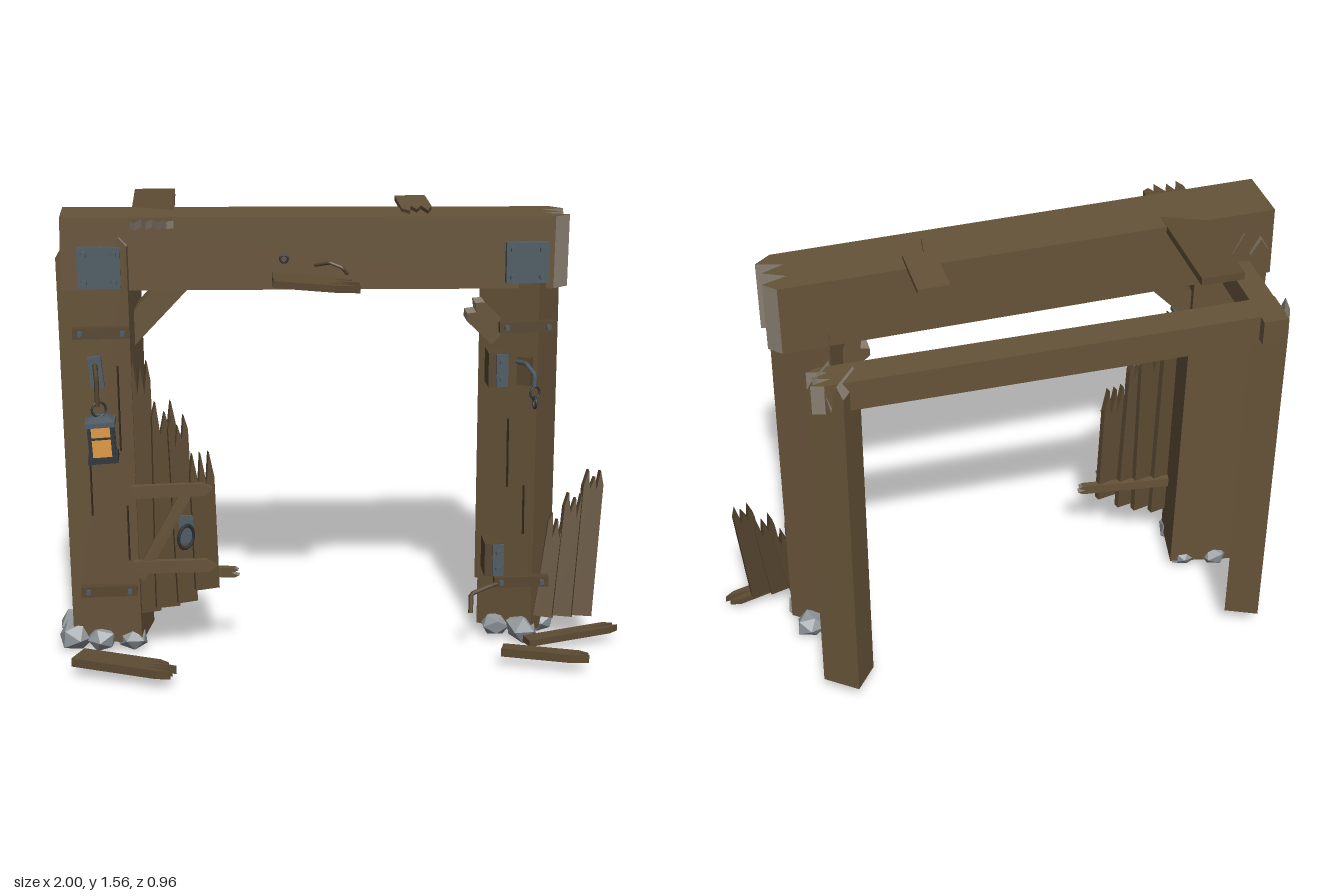
import * as THREE from 'three';

const mat = (name, color) => {
  const m = new THREE.MeshStandardMaterial({ color });
  m.name = name;
  return m;
};
const V = (a) => new THREE.Vector3(...a);

export function createModel() {
  const model = new THREE.Group();
  model.name = 'ruinedTimberGate';
  const wood = mat('oldWood', 0x665339);
  const plankWood = mat('plankWood', 0x5d4b33);
  const splitWood = mat('splitWood', 0x8a8072);
  const crackWood = mat('crackedWood', 0x33281b);
  const iron = mat('blueIron', 0x4f5c64);
  const darkIron = mat('darkIron', 0x2f363b);
  const rust = mat('rustyIron', 0x57462f);
  const stone = mat('stone', 0x8f959a);
  const glow = mat('lanternGlow', 0xe09a45);

  let seed = 7;
  const rnd = () => {
    seed = (seed * 16807) % 2147483647;
    return seed / 2147483647;
  };
  const add = (name, geo, material, pos = [0, 0, 0], rot = [0, 0, 0], parent = model) => {
    const m = new THREE.Mesh(geo, material);
    m.name = name;
    m.position.set(...pos);
    m.rotation.set(...rot);
    parent.add(m);
    return m;
  };
  const box = (name, size, pos, material, rot, parent) =>
    add(name, new THREE.BoxGeometry(...size), material, pos, rot, parent);
  const rod = (name, pts, r, material, parent) => {
    const path = new THREE.CurvePath();
    for (let i = 1; i < pts.length; i++) path.add(new THREE.LineCurve3(V(pts[i - 1]), V(pts[i])));
    return add(name, new THREE.TubeGeometry(path, (pts.length - 1) * 4, r, 6), material, undefined, undefined, parent);
  };

  // Timber running from a to b, with its far end broken into teeth
  const board = (name, a, b, width, thick, normal, o = {}) => {
    const { teeth = 0, depth = 0.06, material = wood, end = splitWood } = o;
    const A = V(a), X = V(b).sub(A), L = X.length(), h = width / 2;
    X.normalize();
    const Z = V(normal).addScaledVector(X, -V(normal).dot(X)).normalize();
    const Y = new THREE.Vector3().crossVectors(Z, X);
    const s = new THREE.Shape();
    s.moveTo(0, h);
    s.lineTo(0, -h);
    if (!teeth) s.lineTo(L, -h);
    else {
      s.lineTo(L - depth * (0.3 + 0.5 * rnd()), -h);
      for (let i = 0; i < teeth; i++) {
        s.lineTo(L - depth * 0.35 * rnd() * (i % 2), -h + (width * (i + 0.35 + 0.3 * rnd())) / teeth);
        if (i < teeth - 1) s.lineTo(L - depth * (0.7 + 0.3 * rnd()), -h + (width * (i + 1)) / teeth);
      }
      s.lineTo(L - depth * (0.3 + 0.5 * rnd()), h);
    }
    if (!teeth) s.lineTo(L, h);
    s.closePath();
    const g = new THREE.ExtrudeGeometry(s, { depth: thick, bevelEnabled: false });
    g.translate(0, 0, -thick / 2);
    // broken faces take the paler split wood
    g.clearGroups();
    const n = g.attributes.normal;
    for (let i = 0; i < n.count; i += 3) g.addGroup(i, 3, teeth && n.getX(i) > 0.05 ? 1 : 0);
    const m = add(name, g, [material, end]);
    m.quaternion.setFromRotationMatrix(new THREE.Matrix4().makeBasis(X, Y, Z));
    m.position.copy(A);
    return m;
  };

  // Main posts, each turned on its base
  board('leftPost', [-0.8, 0.04, 0.01], [-0.818, 1.49, 0.0], 0.245, 0.22, [-0.174, 0, 0.985], { teeth: 4, depth: 0.1 });
  board('rightPost', [0.645, 0.04, 0.008], [0.645, 1.43, 0.005], 0.214, 0.166, [-0.545, 0, 0.839], { teeth: 4, depth: 0.12 });
  // Lintel
  board('mainBeam', [-0.94, 1.435, 0.005], [0.8, 1.415, -0.018], 0.212, 0.25, [0, 1, 0], { teeth: 3, depth: 0.09 });
  // Rear frame
  board('rearLeftPost', [-0.83, 0.07, -0.39], [-0.83, 1.38, -0.4], 0.12, 0.12, [-0.4, 0, 0.9], { teeth: 3, depth: 0.08 });
  board('rearRightPost', [0.645, 0.07, -0.385], [0.645, 1.38, -0.395], 0.135, 0.12, [-0.6, 0, 0.8], { teeth: 3, depth: 0.12 });
  board('rearBeam', [-0.86, 1.325, -0.395], [0.72, 1.315, -0.392], 0.105, 0.11, [0, 1, 0], { teeth: 3, depth: 0.08 });
  board('sideBeam', [-0.815, 1.335, 0.02], [-0.815, 1.335, -0.48], 0.085, 0.088, [0, 1, 0]);
  // Corner braces
  board('leftBrace', [-0.74, 1.12, 0.0], [-0.53, 1.34, 0.0], 0.085, 0.1, [0, 0, 1]);
  board('rightBrace', [0.57, 1.12, 0.01], [0.465, 1.22, 0.01], 0.09, 0.09, [0, 0, 1], { teeth: 2, depth: 0.03 });
  // Loose planks on the lintel
  board('topPlankLeft', [-0.628, 1.553, -0.45], [-0.628, 1.537, 0.18], 0.145, 0.026, [0, 1, 0], { teeth: 4, depth: 0.07, material: plankWood });
  board('topPlankRight', [0.28, 1.552, -0.27], [0.28, 1.549, 0.04], 0.108, 0.018, [0, 1, 0], { teeth: 3, depth: 0.12, end: plankWood });
  board('hangingPlank', [-0.225, 1.347, 0.16], [0.07, 1.32, 0.16], 0.1, 0.025, [0, 1, 0.1], { teeth: 4, depth: 0.12, material: plankWood, end: plankWood });
  add('nailRing', new THREE.TorusGeometry(0.013, 0.004, 5, 12), darkIron, [-0.185, 1.41, 0.112]);
  rod('bentNail', [[-0.08, 1.385, 0.1], [-0.03, 1.4, 0.14], [0.01, 1.385, 0.15], [0.03, 1.36, 0.14]], 0.006, rust);

  // Broken door leaf: boards [bottom x, bottom y, top x, top y, width]
  const leaf = [
    [-0.665, 0.15, -0.685, 1.06, 0.07], [-0.605, 0.17, -0.605, 0.92, 0.085],
    [-0.535, 0.19, -0.56, 0.87, 0.07], [-0.465, 0.24, -0.48, 0.74, 0.085],
  ];
  leaf.forEach(([x, y, u, v, w], i) =>
    board('doorBoard', [x, y, 0.11 + 0.008 * i], [u, v, 0.11 + 0.008 * i], w, 0.024, [0.25, 0, 1],
      { teeth: 3, depth: 0.12, material: plankWood, end: plankWood }));
  board('doorRail', [-0.72, 0.605, 0.15], [-0.44, 0.615, 0.16], 0.045, 0.022, [0, 0, 1], { teeth: 1, depth: 0.05, end: wood });
  board('doorRail', [-0.72, 0.33, 0.15], [-0.43, 0.335, 0.16], 0.045, 0.022, [0, 0, 1], { teeth: 1, depth: 0.05, end: wood });
  board('rearRail', [-0.7, 0.3, 0.085], [-0.35, 0.295, 0.13], 0.035, 0.025, [0, 0, 1], { teeth: 2, depth: 0.03 });
  board('doorDiagonal', [-0.7, 0.29, 0.145], [-0.53, 0.6, 0.15], 0.04, 0.02, [0, 0, 1]);
  box('handlePlate', [0.05, 0.1, 0.012], [-0.535, 0.465, 0.15], iron);
  add('handleRing', new THREE.TorusGeometry(0.034, 0.006, 6, 16), darkIron, [-0.535, 0.445, 0.175], [0.1, 0.7, 0]).scale.y = 1.25;

  // Boards leaning on the right post
  const leaning = [[0.735, 0.8, 0.45], [0.805, 0.86, 0.52], [0.875, 0.93, 0.6]];
  leaning.forEach(([x, u, v], i) =>
    board('leaningBoard', [x, 0.09, 0.1], [u, v, 0.11 - 0.25 * (v - 0.07)], 0.074, 0.03, [0.15, 0.2, 1],
      { teeth: 3, depth: 0.09, material: plankWood, end: plankWood }));

  // Fallen planks
  const fallen = { teeth: 4, depth: 0.11, material: plankWood, end: plankWood };
  board('fallenPlankLeft', [-0.915, 0.055, 0.295], [-0.58, 0.055, 0.445], 0.1, 0.03, [0, 1, 0], fallen);
  board('fallenPlankFront', [0.56, 0.055, 0.325], [0.85, 0.055, 0.42], 0.05, 0.03, [0, 1, 0], { ...fallen, teeth: 2 });
  board('fallenPlankRight', [0.66, 0.045, 0.225], [1.0, 0.052, 0.12], 0.055, 0.024, [0, 1, 0], { ...fallen, teeth: 2 });

  // Bolted corner plates and straps
  const bolt = (x, y, z) =>
    add('bolt', new THREE.CylinderGeometry(0.009, 0.011, 0.014, 8), iron, [x, y, z], [Math.PI / 2, 0, 0]);
  for (const x of [-0.81, 0.645]) {
    box('cornerPlate', [0.145, 0.14, 0.03], [x, 1.39, 0.125], iron);
    for (const i of [-1, 1]) for (const j of [-1, 1]) bolt(x + i * 0.05, 1.39 + j * 0.048, 0.146);
  }
  for (const x of [-0.808, 0.65]) for (const y of [1.168, 0.24]) {
    box('strap', [0.195, 0.038, 0.03], [x, y, 0.135], rust, [0, 0, 0.01]);
    for (const i of [-1, 1]) bolt(x + i * 0.072, y, 0.155);
  }
  // Hinge blocks on the right post
  for (const y of [1.02, 0.33]) {
    box('hingeBlock', [0.06, 0.12, 0.1], [0.545, y, 0.11], rust);
    box('hingePlate', [0.04, 0.115, 0.012], [0.562, y, 0.164], iron);
    bolt(0.562, y + 0.03, 0.172);
    bolt(0.562, y - 0.03, 0.172);
  }
  rod('bentBar', [[0.57, 0.235, 0.14], [0.53, 0.23, 0.16], [0.465, 0.215, 0.19], [0.462, 0.15, 0.207]], 0.009, rust);
  // Hook and chain on the right post
  rod('chainHook', [[0.62, 1.04, 0.12], [0.64, 1.05, 0.19], [0.665, 1.02, 0.235], [0.662, 0.98, 0.24]], 0.008, iron);
  box('hookPlate', [0.05, 0.1, 0.02], [0.645, 1.01, 0.13], rust, [0, -0.5, 0]);
  [0.96, 0.925].forEach((y, i) =>
    add('chainLink', new THREE.TorusGeometry(0.02, 0.004, 6, 14), darkIron, [0.664, y, 0.24], [0, 0.5 + i * 1.2, 0]));

  // Lantern arm
  box('armPlate', [0.045, 0.11, 0.025], [-0.83, 1.03, 0.135], iron, [0, 0, 0.1]);
  rod('lanternArm', [[-0.83, 1.03, 0.13], [-0.83, 1.065, 0.18], [-0.828, 1.08, 0.24], [-0.82, 1.045, 0.305], [-0.82, 0.955, 0.308]], 0.008, rust);
  add('lanternRing', new THREE.TorusGeometry(0.025, 0.004, 6, 16), darkIron, [-0.815, 0.945, 0.305], [0, 0.4, 0]);
  // Lantern
  const lantern = new THREE.Group();
  lantern.name = 'lantern';
  lantern.position.set(-0.808, 0.84, 0.3);
  lantern.rotation.set(0, 0, 0.06);
  model.add(lantern);
  box('lanternGlass', [0.078, 0.12, 0.078], [0, 0, 0], glow, undefined, lantern);
  box('lanternBase', [0.1, 0.02, 0.1], [0, -0.063, 0], darkIron, undefined, lantern);
  box('lanternCap', [0.1, 0.016, 0.1], [0, 0.06, 0], iron, undefined, lantern);
  add('lanternRoof', new THREE.CylinderGeometry(0.035, 0.066, 0.015, 4), iron, [0, 0.074, 0], [0, Math.PI / 4, 0], lantern);
  for (const i of [-1, 1]) {
    for (const j of [-1, 1]) box('lanternPost', [0.012, 0.12, 0.012], [i * 0.038, 0, j * 0.038], darkIron, undefined, lantern);
    box('lanternBar', [0.078, 0.007, 0.006], [0, 0.012, i * 0.04], darkIron, undefined, lantern);
  }

  // Cracks in the post faces: [x, y, z, height, turn]
  const cracks = [[-0.755, 0.9, 0.133, 0.3, -0.174], [-0.86, 0.62, 0.113, 0.22, -0.174], [-0.735, 0.45, 0.136, 0.2, -0.174],
    [0.6, 0.7, 0.08, 0.25, -0.576], [0.655, 0.5, 0.116, 0.18, -0.576]];
  for (const [x, y, z, h, r] of cracks) box('crack', [0.005, h, 0.008], [x, y, z], crackWood, [0, r, 0.01]);

  // Footing stones: [x, z, radius]
  const stones = [[-0.935, 0.07, 0.065], [-0.84, 0.11, 0.06], [-0.73, 0.1, 0.055], [-0.93, -0.05, 0.065], [-0.83, -0.08, 0.06],
    [-0.72, -0.05, 0.055], [0.57, 0.06, 0.058], [0.66, 0.1, 0.06], [0.74, 0.03, 0.055], [0.72, -0.07, 0.06], [0.61, -0.08, 0.055]];
  for (const [x, z, r] of stones) {
    const g = new THREE.IcosahedronGeometry(r, 0);
    const p = g.attributes.position;
    for (let i = 0; i < p.count; i++) {
      const k = 1 + 0.13 * Math.sin(p.getX(i) * 190 + p.getY(i) * 130 + p.getZ(i) * 90 + x * 40);
      p.setXYZ(i, p.getX(i) * k, Math.max(p.getY(i) * k * 0.85, -0.05), p.getZ(i) * k);
    }
    g.computeVertexNormals();
    add('stone', g, stone, [x, 0.05, z], [0, x * 9 + z * 20, 0]);
  }
  return model;
}
